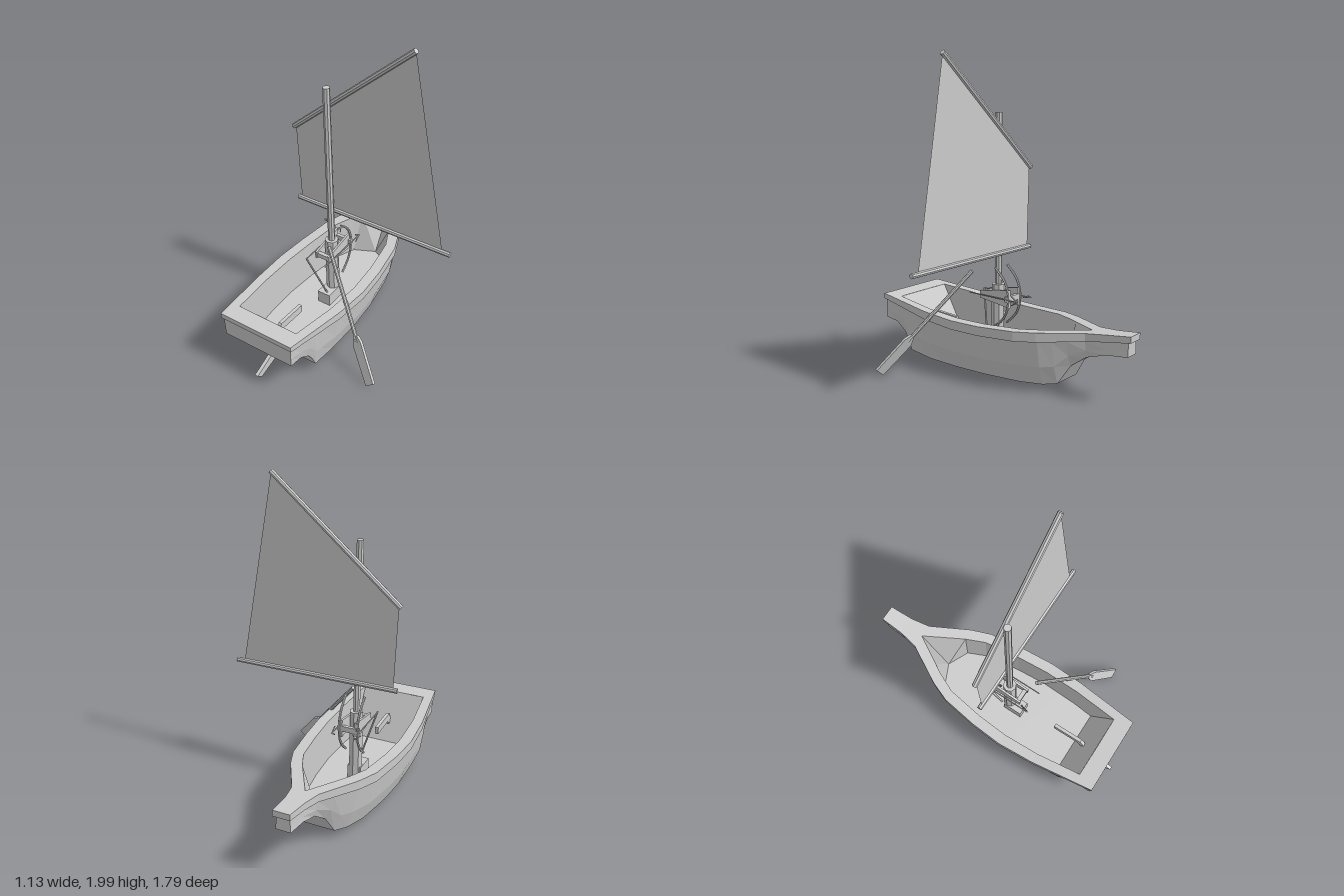
import * as THREE from 'three';

const CX = -0.25; // centre line of the boat
const grey = new THREE.MeshStandardMaterial({ color: 0xcccccc, flatShading: true });
const thin = new THREE.MeshStandardMaterial({ color: 0xcccccc, flatShading: true, side: THREE.DoubleSide });
const V = (x, y, z) => new THREE.Vector3(x, y, z);

// Piecewise linear curve through [z, value] pairs
const curve = (pts) => (z) => {
  if (z <= pts[0][0]) return pts[0][1];
  for (let i = 1; i < pts.length; i++) {
    const [a, va] = pts[i - 1], [b, vb] = pts[i];
    if (z <= b) return va + (vb - va) * (z - a) / (b - a);
  }
  return pts[pts.length - 1][1];
};

// Lines of the boat along z
const beam = curve([[-0.9, 0.052], [-0.745, 0.06], [-0.625, 0.08], [-0.37, 0.22], [-0.24, 0.27], [0, 0.305],
  [0.21, 0.32], [0.45, 0.307], [0.865, 0.257]]);
const sheer = curve([[-0.9, 0.432], [-0.74, 0.413], [-0.6, 0.4], [-0.3, 0.382], [0, 0.37], [0.2, 0.37], [0.45, 0.382], [0.865, 0.418]]);
const railDepth = curve([[-0.9, 0.038], [-0.3, 0.06], [0.4, 0.055], [0.865, 0.034]]);
const keel = curve([[-0.88, 0.305], [-0.74, 0.29], [-0.615, 0.25], [-0.52, 0.18], [-0.445, 0.06], [-0.37, 0.05], [0.45, 0.05],
  [0.63, 0.07], [0.655, 0.135], [0.69, 0.19], [0.76, 0.24], [0.86, 0.255]]);
const bottom = curve([[-0.88, 0.045], [-0.615, 0.055], [-0.52, 0.075], [-0.445, 0.1], [-0.37, 0.145], [-0.24, 0.195],
  [0, 0.235], [0.21, 0.25], [0.63, 0.243], [0.86, 0.243]]);
const inner = curve([[-0.62, 0], [-0.365, 0.145], [-0.24, 0.2], [0, 0.235], [0.21, 0.25], [0.45, 0.243], [0.75, 0.21], [0.751, 0]]);
const floorHalf = curve([[-0.43, 0], [-0.365, 0.14], [-0.24, 0.195], [0, 0.23], [0.21, 0.245], [0.45, 0.238], [0.75, 0.21]]);
const floorY = curve([[-0.62, 0.4], [-0.43, 0.1], [0.595, 0.1], [0.75, 0.408]]);

// Skin a mirrored half profile (keel side first) along the stations
function loft(name, stations, half, { joined = true, caps = false, flip = false } = {}) {
  const pos = [];
  const tri = (a, b, c) => {
    if (new THREE.Triangle(a, b, c).getArea() < 1e-8) return;
    for (const p of flip ? [a, c, b] : [a, b, c]) pos.push(p.x, p.y, p.z);
  };
  const rows = stations.map((z) => {
    const h = half(z);
    return [...h.map(([x, y]) => V(CX - x, y, z)).reverse(), ...h.map(([x, y]) => V(CX + x, y, z))];
  });
  const n = rows[0].length;
  for (let i = 0; i < rows.length - 1; i++) {
    for (let j = 0; j < n - 1; j++) {
      if (!joined && j === n / 2 - 1) continue;
      const [a, b, c, d] = [rows[i][j], rows[i][j + 1], rows[i + 1][j + 1], rows[i + 1][j]];
      tri(a, b, c);
      tri(a, c, d);
    }
  }
  if (caps) {
    const first = rows[0], last = rows[rows.length - 1];
    for (let j = 1; j < n - 1; j++) {
      tri(first[0], first[j + 1], first[j]);
      tri(last[0], last[j], last[j + 1]);
    }
  }
  const g = new THREE.BufferGeometry();
  g.setAttribute('position', new THREE.Float32BufferAttribute(pos, 3));
  g.computeVertexNormals();
  const m = new THREE.Mesh(g, thin);
  m.name = name;
  return m;
}

// Round bar between two points
function rod(name, a, b, r, sides = 8) {
  const d = b.clone().sub(a);
  const m = new THREE.Mesh(new THREE.CylinderGeometry(r, r, d.length(), sides), grey);
  m.position.copy(a).add(b).multiplyScalar(0.5);
  m.quaternion.setFromUnitVectors(V(0, 1, 0), d.normalize());
  m.name = name;
  return m;
}

function box(name, w, h, d, x, y, z) {
  const m = new THREE.Mesh(new THREE.BoxGeometry(w, h, d), grey);
  m.position.set(x, y, z);
  m.name = name;
  return m;
}

const shapeOf = (pts) => new THREE.Shape(pts.map(([x, y]) => new THREE.Vector2(x, y)));

// Board cut from a [z, y] outline, centred on x
function board(name, pts, width, x) {
  const g = new THREE.ExtrudeGeometry(shapeOf(pts), { depth: width, bevelEnabled: false });
  g.translate(0, 0, -width / 2).rotateY(-Math.PI / 2);
  const m = new THREE.Mesh(g, grey);
  m.position.x = x;
  m.name = name;
  return m;
}

function makeBoat() {
  const g = new THREE.Group();
  g.name = 'boat';
  const mid = [-0.745, -0.615, -0.52, -0.445, -0.37, -0.24, -0.12, 0, 0.1, 0.21, 0.33, 0.45, 0.595, 0.63, 0.655, 0.69, 0.75, 0.76];
  const hullHalf = (z) => {
    const top = sheer(z) - railDepth(z), w = beam(z) - 0.012, b = bottom(z), k = keel(z);
    return [[b, k], [b + (w - b) * 0.6, k + (top - k) * 0.42], [w, top]];
  };
  g.add(loft('hull', [-0.88, ...mid, 0.855], hullHalf, { caps: true }));
  const railHalf = (z) => {
    const y = sheer(z), w = beam(z), low = y - railDepth(z);
    return [[w - 0.014, low], [w, low], [w, y], [inner(z), y]];
  };
  const railZ = [-0.9, ...mid, -0.62, 0.751, 0.865].sort((a, b) => a - b);
  g.add(loft('rail', railZ, railHalf, { joined: false, caps: true }));
  const insideZ = [-0.62, -0.52, -0.43, -0.365, -0.24, -0.12, 0, 0.1, 0.21, 0.33, 0.45, 0.595, 0.75];
  g.add(loft('interior', insideZ, (z) => [[floorHalf(z), floorY(z)], [inner(z), sheer(z)]], { flip: true }));
  // Bent steering bar running through the stern
  g.add(board('rudder', [[0.44, 0.28], [0.44, 0.23], [0.62, 0.24], [0.665, 0.19], [0.69, 0.135], [0.73, 0.07], [0.86, 0.03],
    [0.895, 0.065], [0.765, 0.12], [0.71, 0.19], [0.64, 0.29]], 0.022, CX));
  return g;
}

function makeRig() {
  const g = new THREE.Group();
  g.name = 'rig';
  g.add(rod('mast', V(CX, 0.1, 0.087), V(CX, 1.64, 0.087), 0.022));
  g.add(rod('mastFoot', V(CX, 0.1, 0.087), V(CX, 0.565, 0.087), 0.043));
  g.add(rod('yard', V(-0.523, 1.285, 0.048), V(0.293, 1.985, 0.048), 0.017));
  g.add(rod('boom', V(-0.52, 0.77, 0.048), V(0.56, 0.77, 0.048), 0.016));
  const sail = new THREE.Mesh(new THREE.ShapeGeometry(shapeOf([[-0.495, 0.775], [0.508, 0.775], [0.293, 1.98], [-0.51, 1.292]])), thin);
  sail.position.z = 0.048;
  sail.name = 'sail';
  g.add(sail);
  return g;
}

// Twin bow launcher around the foot of the mast
function makeLauncher() {
  const g = new THREE.Group();
  g.name = 'launcher';
  for (const s of [-1, 1]) {
    g.add(board('sidePlate', [[-0.04, 0.435], [0.195, 0.465], [0.195, 0.512], [-0.04, 0.55]], 0.014, CX + s * 0.046));
    const bowX = CX + s * 0.06;
    const path = new THREE.CatmullRomCurve3([[0.68, 0.065], [0.62, 0.002], [0.56, -0.03], [0.49, -0.04], [0.42, -0.03], [0.36, 0.002], [0.3, 0.065]]
      .map(([y, z]) => V(bowX, y, z)));
    const bow = new THREE.Mesh(new THREE.TubeGeometry(path, 16, 0.008, 6), thin);
    bow.name = 'bow';
    g.add(bow);
    // Bolt: the barbs lie flat on one side and upright on the other
    const x = CX + s * 0.072, tip = V(x, 0.492, -0.118);
    g.add(rod('boltShaft', V(x, 0.492, 0.265), tip, 0.004, 6));
    for (const t of [-1, 1]) {
      g.add(rod('boltBarb', tip, s < 0 ? V(x + t * 0.025, 0.492, -0.075) : V(x, 0.492 + t * 0.028, -0.075), 0.004, 5));
    }
  }
  g.add(box('frontCrossbar', 0.14, 0.035, 0.022, CX, 0.492, -0.03));
  g.add(box('rearCrossbar', 0.1, 0.03, 0.025, CX, 0.488, 0.178));
  g.add(box('footBlock', 0.09, 0.09, 0.13, CX, 0.14, 0.13));
  g.add(rod('brace', V(-0.32, 0.492, 0.262), V(-0.24, 0.18, 0.17), 0.006, 6));
  return g;
}

function makeOar() {
  const g = new THREE.Group();
  g.name = 'oar';
  const a = V(-0.165, 0.64, 0.232), b = V(0.345, 0.03, 0.562);
  const d = b.clone().sub(a), len = d.length();
  d.normalize();
  const w = V(0.77, 0.64, 0).addScaledVector(d, -V(0.77, 0.64, 0).dot(d)).normalize();
  g.add(rod('oarShaft', a, a.clone().addScaledVector(d, len * 0.7), 0.013));
  // Blade flares away from one edge of the shaft
  const geo = new THREE.ExtrudeGeometry(shapeOf([[-0.012, len * 0.65], [0.018, len * 0.65], [0.034, len * 0.7],
    [0.034, len], [-0.034, len], [-0.04, len * 0.71]]), { depth: 0.018, bevelEnabled: false });
  geo.translate(0, 0, -0.009);
  geo.applyMatrix4(new THREE.Matrix4().makeBasis(w, d, w.clone().cross(d)).setPosition(a));
  const blade = new THREE.Mesh(geo, grey);
  blade.name = 'oarBlade';
  g.add(blade);
  return g;
}

export function createModel() {
  const model = new THREE.Group();
  model.name = 'sailboat';
  model.add(makeBoat(), makeRig(), makeLauncher(), makeOar());
  return model;
}
